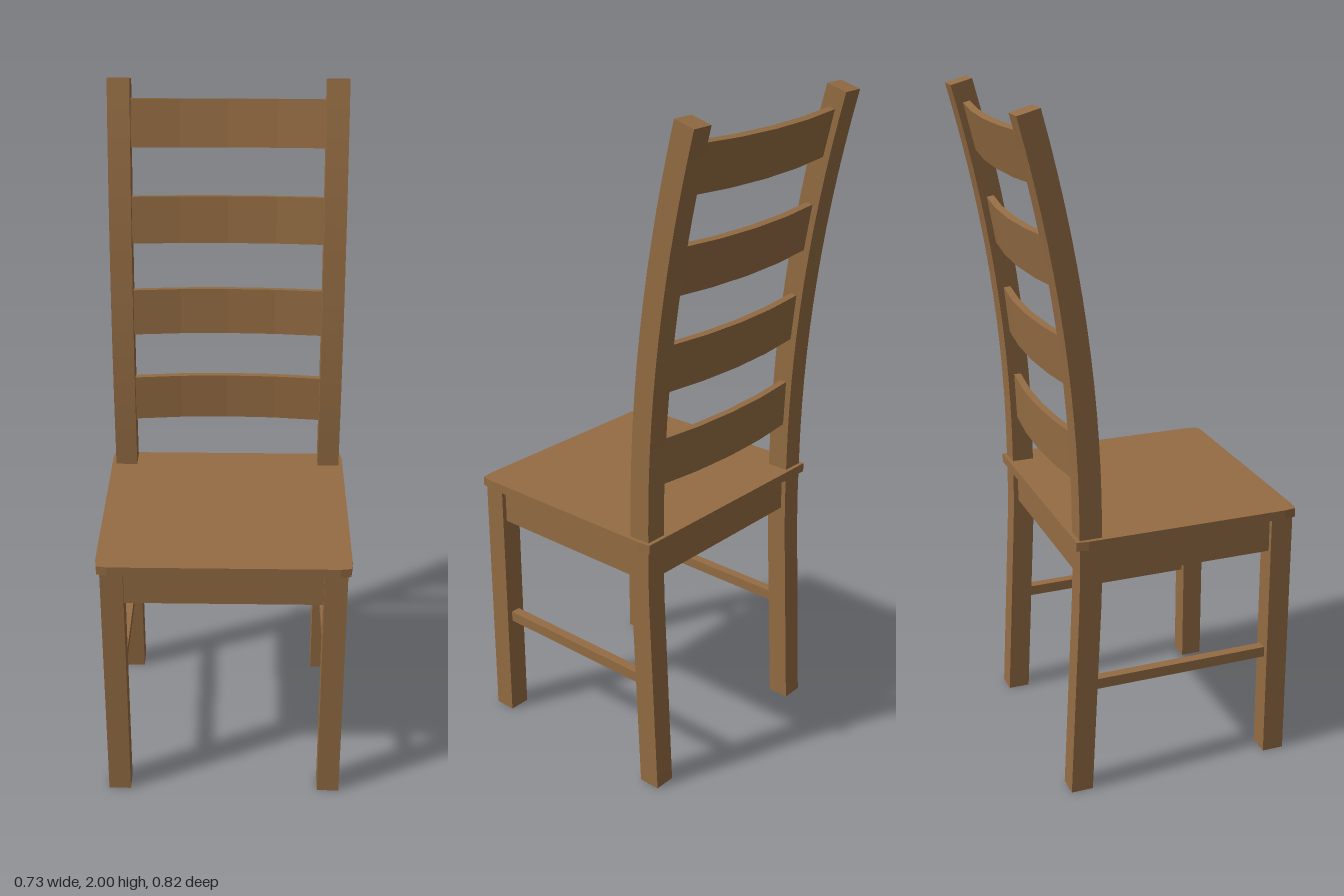
import * as THREE from 'three';

const wood = new THREE.MeshStandardMaterial({ color: 0x946c43 });
wood.name = 'brown wood';

const LEG = 0.066; // square leg section
const LEG_X = 0.319; // leg centre line
const POST_FRONT = -0.192;
const CURVE = 0.117;
const CURVE_START = 0.85;

// Front edge of the back posts: splayed foot, upright middle, curved top
const postZ = (y) => POST_FRONT - CURVE * Math.max(0, y - CURVE_START) ** 2;
const postSlope = (y) => 2 * CURVE * Math.max(0, y - CURVE_START);

function add(group, name, geometry, x = 0, y = 0, z = 0) {
  const mesh = new THREE.Mesh(geometry, wood);
  mesh.name = name;
  mesh.position.set(x, y, z);
  group.add(mesh);
  return mesh;
}

// Box given by its ranges
function addBox(group, name, [x0, x1], [y0, y1], [z0, z1]) {
  add(group, name, new THREE.BoxGeometry(x1 - x0, y1 - y0, z1 - z0),
    (x0 + x1) / 2, (y0 + y1) / 2, (z0 + z1) / 2);
}

// Extrudes a plan outline of [x, z] points upwards
function planGeometry(points, height) {
  const shape = new THREE.Shape(points.map(([x, z]) => new THREE.Vector2(x, -z)));
  return new THREE.ExtrudeGeometry(shape, { depth: height, bevelEnabled: false }).rotateX(-Math.PI / 2);
}

function postGeometry() {
  const front = [[-0.225, 0], [-0.195, 0.6], [POST_FRONT, 0.7]];
  const back = [[-0.225 - LEG, 0], [-0.195 - LEG, 0.6], [POST_FRONT - LEG, 0.7]];
  const steps = 14;
  for (let i = 0; i <= steps; i++) {
    const y = CURVE_START + (2 - CURVE_START) * i / steps;
    const slope = postSlope(y);
    const len = Math.hypot(1, slope);
    front.push([postZ(y), y]);
    back.push([postZ(y) - LEG / len, y - LEG * slope / len]);
  }
  const outline = [...front, ...back.reverse()].map(([z, y]) => new THREE.Vector2(z, y));
  return new THREE.ExtrudeGeometry(new THREE.Shape(outline), { depth: LEG, bevelEnabled: false })
    .translate(0, 0, -LEG / 2)
    .rotateY(-Math.PI / 2);
}

// Bowed back slat, centred on its height
function slatGeometry() {
  const height = 0.14, half = 0.288, bow = 0.022, thick = 0.021;
  const front = [], back = [];
  for (let i = -2; i <= 2; i++) {
    const z = 0.007 - bow * (1 - (i / 2) ** 2);
    front.push([half * i / 2, z]);
    back.push([half * i / 2, z - thick]);
  }
  return planGeometry([...front, ...back.reverse()], height).translate(0, -height / 2, 0);
}

export function createModel() {
  const chair = new THREE.Group();
  chair.name = 'chair';

  // Seat board with slightly eased corners
  const seat = [
    [0.33, 0.41], [0.36, 0.405], [0.365, 0.37], [0.365, -0.235], [0.36, -0.27],
    [-0.36, -0.27], [-0.365, -0.235], [-0.365, 0.37], [-0.36, 0.405], [-0.33, 0.41],
  ];
  add(chair, 'seat', planGeometry(seat, 0.027), 0, 0.785, 0);

  // Legs, posts, side aprons and stretchers
  const post = postGeometry();
  for (const [side, s] of [['left', 1], ['right', -1]]) {
    const span = (a, b) => (s > 0 ? [a, b] : [-b, -a]);
    addBox(chair, `${side} front leg`, span(LEG_X - LEG / 2, LEG_X + LEG / 2), [0, 0.785], [0.335, 0.401]);
    add(chair, `${side} back post`, post, s * LEG_X);
    addBox(chair, `${side} apron`, span(0.312, 0.338), [0.677, 0.785], [-0.2, 0.34]);
    addBox(chair, `${side} stretcher`, span(0.304, 0.334), [0.322, 0.354], [-0.22, 0.34]);
  }

  // Front and back aprons
  addBox(chair, 'front apron', [-0.29, 0.29], [0.677, 0.785], [0.361, 0.387]);
  addBox(chair, 'back apron', [-0.29, 0.29], [0.677, 0.785], [-0.243, -0.217]);

  // Back slats follow the lean of the posts
  const slat = slatGeometry();
  [1.03, 1.31, 1.59, 1.868].forEach((y, i) => {
    const mesh = add(chair, `back slat ${i + 1}`, slat, 0, y, postZ(y) - LEG / 2);
    mesh.rotation.x = -Math.atan(postSlope(y));
  });

  return chair;
}
